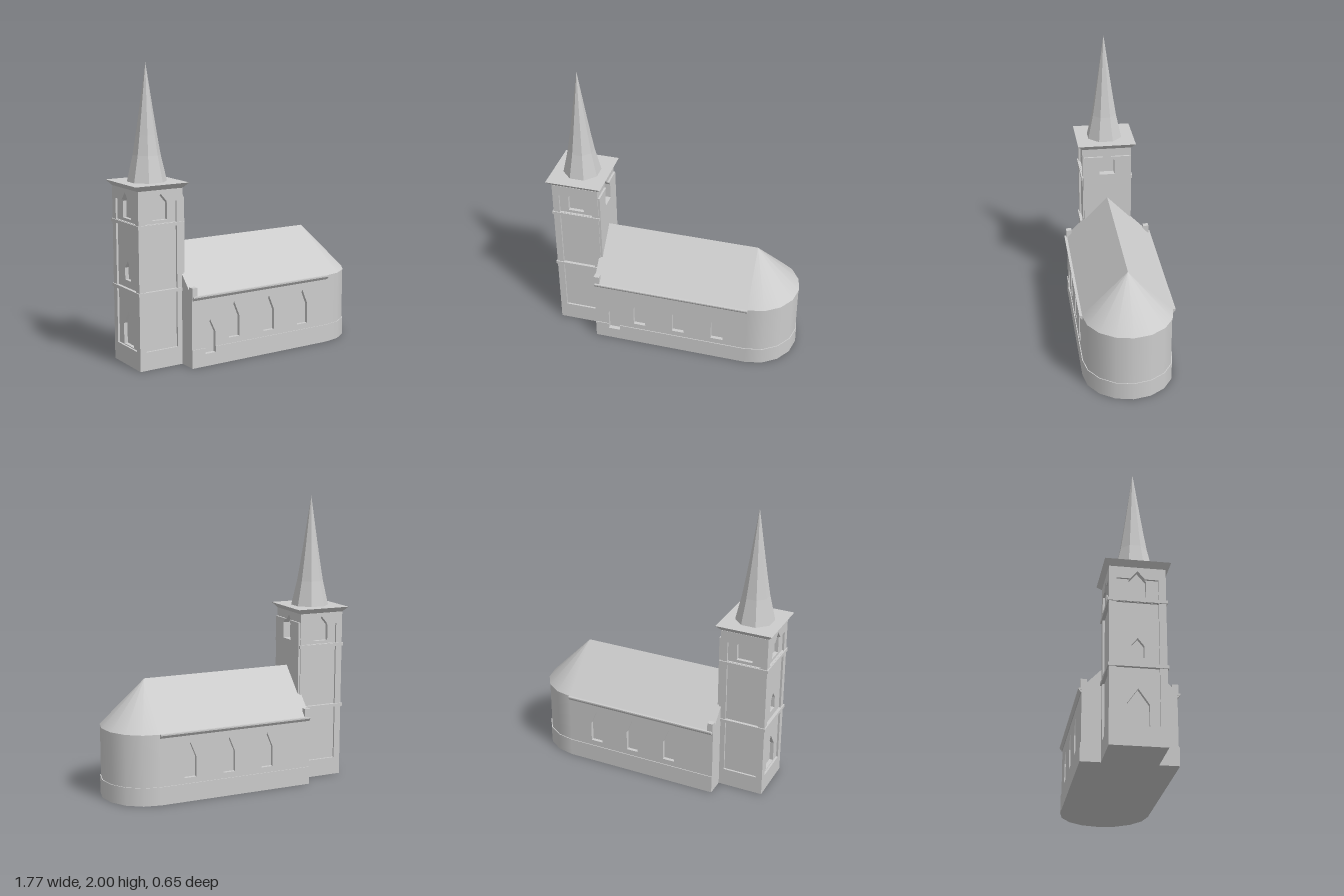
import * as THREE from 'three';

const stone = new THREE.MeshStandardMaterial({ color: 0xcccccc });
stone.name = 'pale stone';

export function createModel() {
  const church = new THREE.Group();
  church.name = 'church';

  const add = (parent, name, geo, x = 0, y = 0, z = 0) => {
    const m = new THREE.Mesh(geo, stone);
    m.name = name;
    m.position.set(x, y, z);
    parent.add(m);
    return m;
  };
  const box = (parent, name, x0, x1, y0, y1, z0, z1) =>
    add(parent, name, new THREE.BoxGeometry(x1 - x0, y1 - y0, z1 - z0),
      (x0 + x1) / 2, (y0 + y1) / 2, (z0 + z1) / 2);
  const flat = (geo) => {
    const g = geo.index ? geo.toNonIndexed() : geo;
    g.computeVertexNormals();
    return g;
  };
  const poly = (pts) => pts.map(([x, y]) => new THREE.Vector2(x, y));
  const rect = (x0, x1, y0, y1) => [[x0, y0], [x1, y0], [x1, y1], [x0, y1]];
  // Pointed opening: centre, half width, sill, shoulder, peak
  const lancet = (x, w, y0, y1, y2) => [[x - w, y0], [x + w, y0], [x + w, y1], [x, y2], [x - w, y1]];
  // Upright plate with openings, extruded toward +z
  const plate = (outline, holes, depth) => {
    const s = new THREE.Shape(poly(outline));
    holes.forEach((h) => s.holes.push(new THREE.Path(poly(h))));
    return new THREE.ExtrudeGeometry(s, { depth, bevelEnabled: false });
  };
  // Profile in (z, y) extruded along x
  const alongX = (pts, x0, x1) => {
    const s = new THREE.Shape(poly(pts));
    return new THREE.ExtrudeGeometry(s, { depth: x1 - x0, bevelEnabled: false })
      .rotateY(Math.PI / 2).translate(x0, 0, 0);
  };

  // ---- Nave ----
  const nave = new THREE.Group();
  nave.name = 'nave';
  church.add(nave);
  const X0 = -0.54, X1 = 0.57, EAVE = 0.485, RIDGE = 0.8;
  box(nave, 'naveCore', X0, X1, 0, EAVE, -0.28, 0.28);

  for (const side of [1, -1]) {
    const wall = new THREE.Group();
    wall.name = side > 0 ? 'frontNaveWall' : 'backNaveWall';
    if (side < 0) wall.rotation.y = Math.PI;
    nave.add(wall);
    const a = side > 0 ? X0 : -X1, b = side > 0 ? X1 : -X0;
    const windows = [-0.21, 0.075, 0.36].map((x) => lancet(x * side, 0.043, 0.165, 0.305, 0.41));
    let plinth = rect(a, b, 0, 0.125);
    if (side > 0) {
      // Low window on the front only, cutting into the plinth
      windows.push(lancet(-0.4, 0.042, 0.085, 0.225, 0.315));
      plinth = [[a, 0], [b, 0], [b, 0.125], [-0.358, 0.125], [-0.358, 0.085],
        [-0.442, 0.085], [-0.442, 0.125], [a, 0.125]];
    }
    add(wall, 'windowWall', plate(rect(a, b, 0, EAVE), windows, 0.025), 0, 0, 0.28);
    add(wall, 'plinth', plate(plinth, [], 0.006), 0, 0, 0.305);
    // Eaves moulding, wider toward the top
    const p = [[0.3, 0.458], [0.31, 0.458], [0.325, 0.478], [0.325, 0.487], [0.3, 0.487]];
    add(nave, 'eaves', alongX(p.map(([z, y]) => [z * side, y]), -0.535, 0.575));
    box(nave, 'gablePost', -0.54, -0.5, 0.47, 0.545,
      side > 0 ? 0.272 : -0.312, side > 0 ? 0.312 : -0.272);
  }
  add(nave, 'naveRoof', alongX([[-0.308, EAVE], [0.308, EAVE], [0, RIDGE]], X0, X1));

  // ---- Rounded apse ----
  const half = (r, h) => new THREE.CylinderGeometry(r, r, h, 8, 1, false, 0, Math.PI);
  add(nave, 'apseWall', half(0.305, EAVE), X1, EAVE / 2, 0);
  add(nave, 'apsePlinth', half(0.311, 0.125), X1, 0.0625, 0);
  add(nave, 'apseRoof', new THREE.ConeGeometry(0.308, RIDGE - EAVE, 8, 1, false, 0, Math.PI),
    X1, (RIDGE + EAVE) / 2, 0);

  // ---- Tower ----
  const tower = new THREE.Group();
  tower.name = 'tower';
  tower.position.x = -0.693;
  church.add(tower);
  const HX = 0.165, HZ = 0.18, TOP = 1.19, STEP = 0.014, DEEP = 0.026;
  box(tower, 'towerCore', -HX + STEP + DEEP, HX - STEP - DEEP, 0, TOP,
    -HZ + STEP + DEEP, HZ - STEP - DEEP);
  const belfry = lancet(0, 0.055, 0.99, 1.1, 1.165);

  const faces = [
    { name: 'frontFace', turn: 0, w: HX, d: HZ },
    { name: 'leftFace', turn: Math.PI / 2, w: HZ, d: HX },
    { name: 'backFace', turn: Math.PI, w: HX, d: HZ },
    { name: 'rightFace', turn: -Math.PI / 2, w: HZ, d: HX },
  ];
  for (const { name, turn, w, d } of faces) {
    const face = new THREE.Group();
    face.name = name;
    face.rotation.y = turn;
    tower.add(face);
    const outline = rect(-w, w, 0, TOP);
    if (name === 'leftFace') {
      // Plain face above the nave roof with a shallow raised slab
      add(face, 'plainWall', plate(outline, [belfry], STEP + DEEP), 0, 0, d - STEP - DEEP);
      const slab = [[-0.173, 0.6], [0.173, 0.6], [0.173, 1.13], [0.03, 1.13], [0.055, 1.1],
        [0.055, 0.99], [-0.055, 0.99], [-0.055, 1.1], [-0.03, 1.13], [-0.173, 1.13]];
      add(face, 'raisedSlab', plate(slab, [], 0.014), 0, 0, d);
      continue;
    }
    const openings = [belfry];
    if (name === 'rightFace') {
      openings.push(lancet(0, 0.07, 0.13, 0.27, 0.37), lancet(0, 0.04, 0.575, 0.655, 0.705));
    }
    const inner = rect(-w + STEP, w - STEP, 0, TOP);
    add(face, 'panelWall', plate(inner, openings, DEEP), 0, 0, d - STEP - DEEP);
    // Corner pilasters and bands framing three sunk panels
    const e = w - 0.047;
    const upper = [[-e, 0.97], [e, 0.97], [e, 1.11], [0.0465, 1.11], [0, 1.165],
      [-0.0465, 1.11], [-e, 1.11]];
    add(face, 'panelFrame',
      plate(outline, [rect(-e, e, 0.125, 0.505), rect(-e, e, 0.525, 0.945), upper], STEP),
      0, 0, d - STEP);
  }
  // String courses
  for (const y of [0.515, 0.957]) {
    box(tower, 'stringCourse', -HX - 0.008, HX + 0.008, y - 0.011, y + 0.011, -HZ - 0.008, HZ + 0.008);
  }
  // Splayed cornice slab
  const r = Math.SQRT2;
  const cap = new THREE.CylinderGeometry(r, r * 0.84, 0.036, 4, 1, false, Math.PI / 4);
  add(tower, 'cornice', flat(cap.scale(0.197, 1, 0.211)), 0, 1.208, 0);

  // Eight-sided spire with a flared foot
  const profile = [[0.122, 1.225], [0.104, 1.31], [0.085, 1.4], [0.065, 1.53], [0.045, 1.67], [0.0, 2.0]]
    .map(([a, y]) => new THREE.Vector2(a / Math.cos(Math.PI / 8), y));
  add(tower, 'spire', flat(new THREE.LatheGeometry(profile, 8, Math.PI / 8)));

  return church;
}
